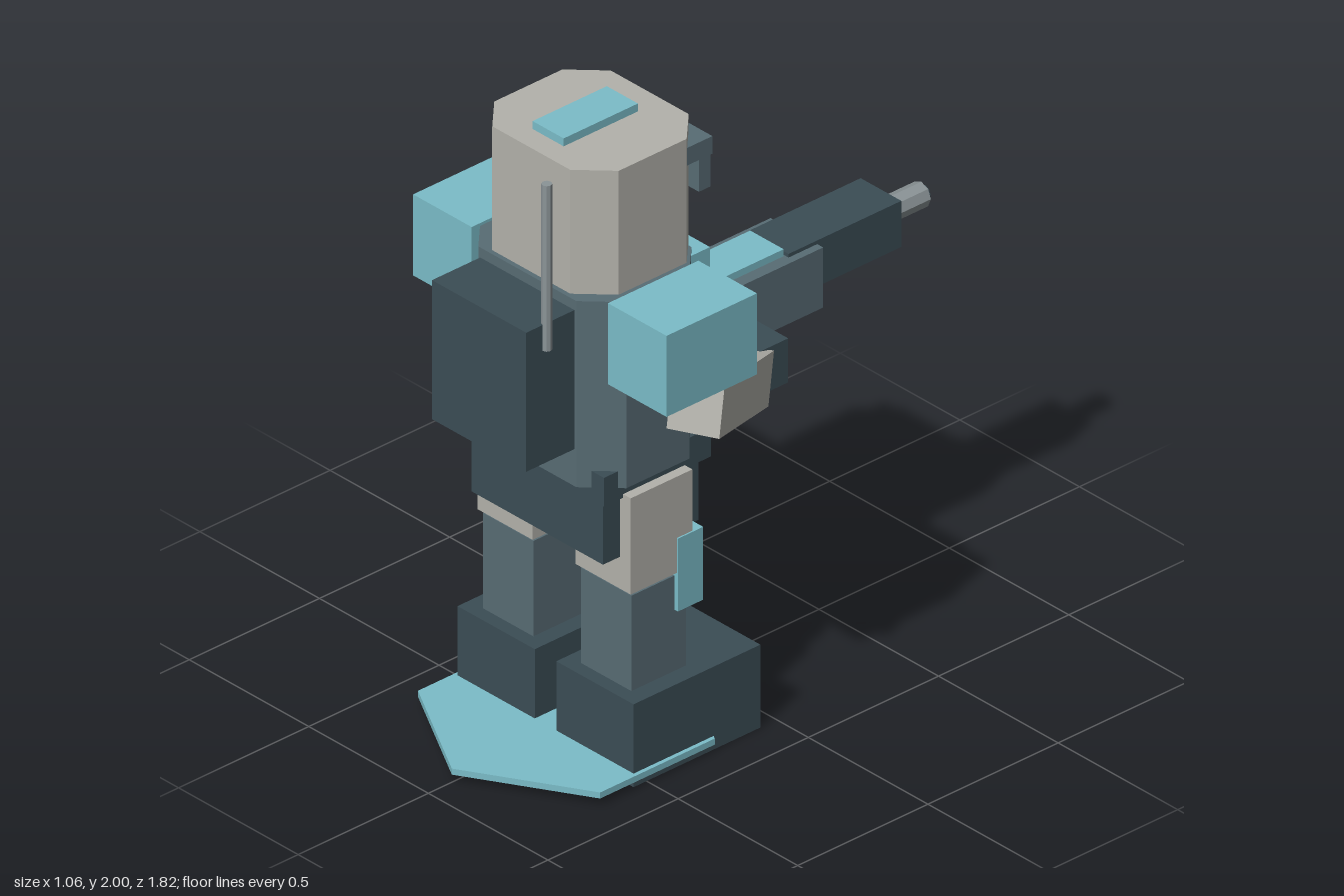
import * as THREE from 'three';

const mat = (name, color) => {
  const m = new THREE.MeshStandardMaterial({ color });
  m.name = name;
  m.flatShading = true;
  return m;
};

export function createModel() {
  const teal = mat('teal', 0x7bbdc8);
  const bone = mat('bone', 0xb3b2ab);
  const slate = mat('slate', 0x586c74);
  const dark = mat('darkSlate', 0x3b4d55);
  const metal = mat('metal', 0x8b9497);

  const model = new THREE.Group();
  model.name = 'armouredRobot';

  const add = (name, geometry, material, parent = model) => {
    const mesh = new THREE.Mesh(geometry, material);
    mesh.name = name;
    parent.add(mesh);
    return mesh;
  };

  // Box given by its extents on each axis
  const box = (name, material, x0, x1, y0, y1, z0, z1, parent) => {
    const mesh = add(name, new THREE.BoxGeometry(x1 - x0, y1 - y0, z1 - z0), material, parent);
    mesh.position.set((x0 + x1) / 2, (y0 + y1) / 2, (z0 + z1) / 2);
    return mesh;
  };

  // Upright block with chamfered vertical corners
  const chamferBlock = (name, material, hx, y0, y1, z0, z1, c) => {
    const hz = (z1 - z0) / 2;
    const shape = new THREE.Shape([
      [hx, -hz + c], [hx, hz - c], [hx - c, hz], [-hx + c, hz],
      [-hx, hz - c], [-hx, -hz + c], [-hx + c, -hz], [hx - c, -hz],
    ].map(([x, y]) => new THREE.Vector2(x, y)));
    const geometry = new THREE.ExtrudeGeometry(shape, { depth: y1 - y0, bevelEnabled: false });
    geometry.rotateX(-Math.PI / 2);
    add(name, geometry, material).position.set(0, y0, (z0 + z1) / 2);
  };

  // Rod lying along z
  const rod = (name, material, r, sides, y, z0, z1) => {
    const geometry = new THREE.CylinderGeometry(r, r, z1 - z0, sides).rotateX(Math.PI / 2);
    add(name, geometry, material).position.set(0, y, (z0 + z1) / 2);
  };

  // Hexagonal base plate
  add('basePlate', new THREE.CylinderGeometry(0.44, 0.44, 0.02, 6), teal).position.set(0, 0.035, 0.47);

  // Head
  chamferBlock('head', bone, 0.26, 1.55, 1.966, 0.15, 0.605, 0.097);
  box('headCrest', teal, -0.065, 0.065, 1.974, 2, 0.255, 0.54);
  box('visorBrow', dark, -0.235, 0.235, 1.857, 1.915, 0.125, 0.225).material = slate;
  box('visor', slate, -0.22, 0.22, 1.74, 1.86, 0.118, 0.163);

  // Torso and hips
  chamferBlock('torso', slate, 0.305, 0.945, 1.558, 0.178, 0.62, 0.1);
  box('chestPlate', teal, -0.225, 0.225, 1.2, 1.545, 0.125, 0.2);
  box('chestBar', teal, -0.13, 0.13, 1.47, 1.51, 0.105, 0.13);
  box('belt', dark, -0.288, 0.288, 0.905, 1, 0.18, 0.59);
  box('pelvis', dark, -0.275, 0.275, 0.705, 0.945, 0.215, 0.582);

  // Backpack and antenna
  box('backpack', dark, -0.197, 0.197, 1.067, 1.525, 0.6, 0.805);
  add('antenna', new THREE.CylinderGeometry(0.016, 0.016, 0.545, 8), metal)
    .position.set(0.198, 1.713, 0.727);

  // Limbs, mirrored left and right
  for (const s of [1, -1]) {
    const side = new THREE.Group();
    side.name = s > 0 ? 'leftLimbs' : 'rightLimbs';
    model.add(side);
    const pair = (name, material, x0, x1, ...rest) =>
      box(name, material, s > 0 ? x0 : -x1, s > 0 ? x1 : -x0, ...rest, side);

    pair('foot', dark, 0.045, 0.368, 0, 0.273, 0.063, 0.55);
    pair('shin', slate, 0.1, 0.31, 0.27, 0.587, 0.295, 0.505);
    pair('thigh', bone, 0.09, 0.32, 0.6, 0.917, 0.28, 0.517);
    pair('kneePad', teal, 0.085, 0.325, 0.475, 0.715, 0.243, 0.34);
    pair('shoulderPad', teal, 0.285, 0.53, 1.3, 1.567, 0.225, 0.572);
    pair('hand', dark, 0.135, 0.32, 1.055, 1.2, -0.088, 0.06);

    const arm = add('forearm', new THREE.BoxGeometry(0.16, 0.165, 0.4), bone, side);
    arm.position.set(s * 0.355, 1.165, 0.205);
    arm.lookAt(s * (0.355 - 0.43), 1.165 - 0.27, 0.205 - 0.87);
  }

  // Rifle
  box('rifleBody', slate, -0.11, 0.11, 1.077, 1.275, -0.415, 0.07);
  box('rifleStock', metal, -0.08, 0.08, 1.1, 1.247, 0.07, 0.18);
  box('rifleTopPlate', teal, -0.07, 0.07, 1.275, 1.298, -0.3, 0.01);
  box('rifleShroud', dark, -0.085, 0.085, 1.135, 1.287, -0.738, -0.305);
  box('rifleGrip', dark, -0.06, 0.06, 0.883, 1.08, -0.062, 0.063);
  box('rifleMagazine', metal, -0.065, 0.065, 0.868, 1.08, -0.225, -0.085);
  rod('rifleBarrel', metal, 0.04, 8, 1.21, -0.893, -0.735);
  rod('rifleMuzzle', dark, 0.024, 8, 1.21, -0.907, -0.89);

  return model;
}
